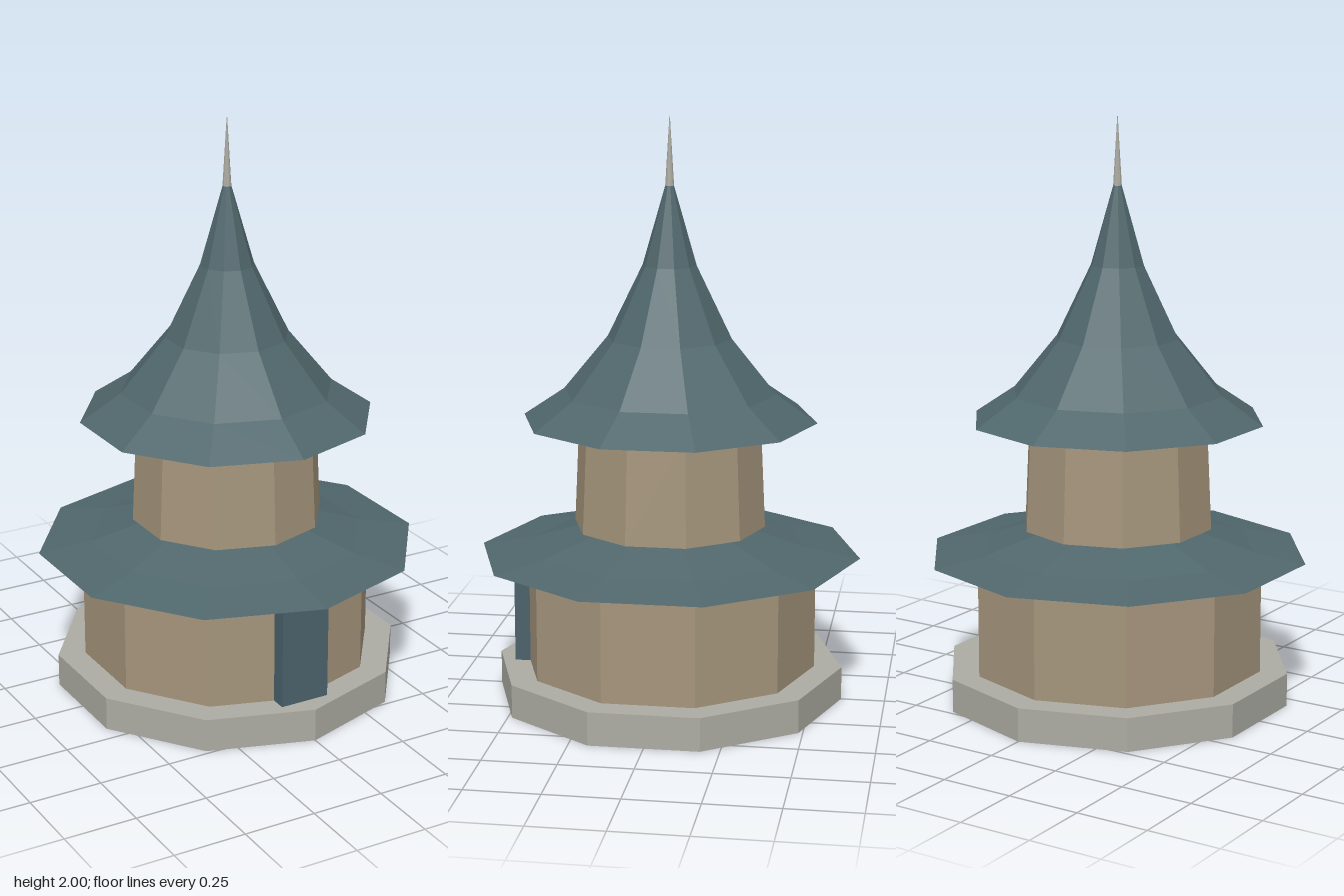
import * as THREE from 'three';

const SIDES = 10;

const flat = (name, color) => {
  const m = new THREE.MeshStandardMaterial({ color, flatShading: true });
  m.name = name;
  return m;
};

export function createModel() {
  const stone = flat('stone', 0xacaca3);
  const plaster = flat('plaster', 0xa5957c);
  const tile = flat('roof tile', 0x50676c);
  const paint = flat('door paint', 0x4b626c);

  const model = new THREE.Group();
  model.name = 'pagoda';

  const add = (name, geometry, material) => {
    const mesh = new THREE.Mesh(geometry, material);
    mesh.name = name;
    model.add(mesh);
    return mesh;
  };

  // Ten-sided drum between two heights, one corner facing the front
  const drum = (name, rBottom, rTop, y0, y1, material) => {
    const g = new THREE.CylinderGeometry(rTop, rBottom, y1 - y0, SIDES);
    add(name, g, material).position.y = (y0 + y1) / 2;
  };

  // Ten-sided roof from a profile, closed underneath
  const roof = (name, profile) => {
    const points = profile.map(([r, y]) => new THREE.Vector2(r, y));
    add(name, new THREE.LatheGeometry(points, SIDES), tile);
  };

  drum('base', 0.6, 0.6, 0, 0.115, stone);
  drum('lowerWall', 0.505, 0.505, 0.115, 0.51, plaster);
  drum('upperWall', 0.33, 0.313, 0.607, 0.975, plaster);

  roof('lowerRoof', [[0, 0.507], [0.657, 0.507], [0.475, 0.538], [0.255, 0.607], [0, 0.607]]);
  roof('upperRoof', [
    [0, 0.975], [0.505, 0.975], [0.365, 1.07], [0.212, 1.257],
    [0.092, 1.503], [0.012, 1.78], [0, 1.78],
  ]);

  // Spire on the roof tip
  drum('finial', 0.015, 0.001, 1.77, 2, stone);

  // Door block standing over the front corner
  add('door', new THREE.BoxGeometry(0.176, 0.375, 0.08), paint).position.set(0, 0.3025, 0.49);

  return model;
}
